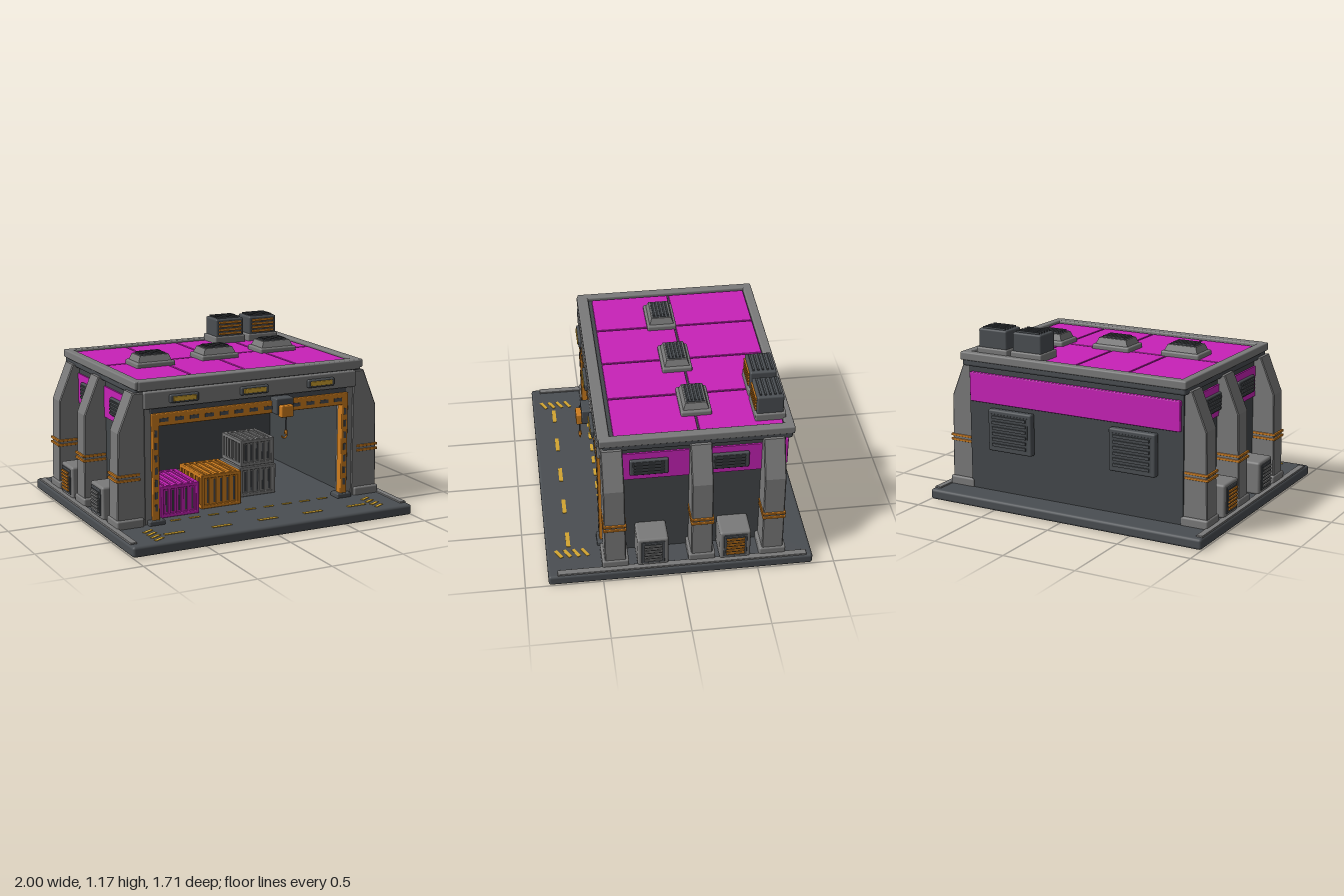
import * as THREE from 'three';
import { RoundedBoxGeometry } from 'three/addons/geometries/RoundedBoxGeometry.js';

const mat = (name, color) => {
  const m = new THREE.MeshStandardMaterial({ color });
  m.name = name;
  return m;
};

export function createModel() {
  const grey = mat('light grey metal', 0x7a7a7a);
  const dark = mat('dark grey metal', 0x4a4e52);
  const wallMat = mat('wall grey', 0x44484b);
  const magenta = mat('magenta panel', 0xc822b8);
  const orange = mat('orange metal', 0xd07e1e);
  const yellow = mat('yellow paint', 0xd3a530);

  const root = new THREE.Group();
  root.name = 'warehouse';

  const add = (parent, name, geo, m, x = 0, y = 0, z = 0) => {
    const mesh = new THREE.Mesh(geo, m);
    mesh.name = name;
    mesh.position.set(x, y, z);
    parent.add(mesh);
    return mesh;
  };
  // Box given by its extents along each axis; r rounds the edges
  const span = (parent, name, m, [x0, x1], [y0, y1], [z0, z1], r = 0) => {
    const w = x1 - x0, h = y1 - y0, d = z1 - z0;
    const g = r ? new RoundedBoxGeometry(w, h, d, 2, r) : new THREE.BoxGeometry(w, h, d);
    return add(parent, name, g, m, (x0 + x1) / 2, (y0 + y1) / 2, (z0 + z1) / 2);
  };
  const group = (name, x = 0, y = 0, z = 0, ry = 0, parent = root) => {
    const g = new THREE.Group();
    g.name = name;
    g.position.set(x, y, z);
    g.rotation.y = ry;
    parent.add(g);
    return g;
  };
  // Louvred vent facing +z, back at z = 0
  const louvre = (g, w, h, d, n, frameMat, panelMat, slatMat) => {
    span(g, 'ventFrame', frameMat, [-w / 2, w / 2], [-h / 2, h / 2], [0, d], Math.min(0.012, d * 0.45));
    const iw = w * 0.84, ih = h * 0.8;
    span(g, 'ventPanel', panelMat, [-iw / 2, iw / 2], [-ih / 2, ih / 2], [d - 0.004, d + 0.003]);
    for (let i = 0; i < n; i++) {
      const y = (i + 0.5) / n * ih - ih / 2;
      const t = ih / n * 0.25;
      span(g, 'ventSlat', slatMat, [-iw * 0.46, iw * 0.46], [y - t, y + t], [d, d + 0.012]);
    }
  };

  // Base slab and curbs
  span(root, 'base', dark, [-1, 1], [0, 0.07], [-0.86, 0.85], 0.018);
  for (const s of [-1, 1]) {
    span(root, 'curb', grey, [s * 0.968 - 0.022, s * 0.968 + 0.022], [0.06, 0.08], [-0.82, 0.79], 0.004);
  }

  // Floor markings
  for (let i = -2; i <= 2; i++) {
    span(root, 'laneDash', yellow, [i * 0.33 - 0.068, i * 0.33 + 0.068], [0.068, 0.074], [0.69, 0.716]);
  }
  for (let i = -4; i <= 4; i++) {
    span(root, 'thresholdDash', yellow, [i * 0.135 - 0.035, i * 0.135 + 0.035], [0.068, 0.074], [0.455, 0.475]);
  }
  for (const s of [-1, 1]) for (let i = 0; i < 4; i++) {
    const m = add(root, 'hazardStripe', new THREE.BoxGeometry(0.078, 0.006, 0.022), yellow, s * 0.792, 0.071, 0.6 + i * 0.057);
    m.rotation.y = 0.5;
  }

  // Walls
  for (const s of [-1, 1]) {
    span(root, 'sideWall', wallMat, [s * 0.765 - 0.02, s * 0.765 + 0.02], [0.06, 0.92], [-0.67, 0.46]);
    span(root, 'doorJamb', grey, [s * 0.75 - 0.045, s * 0.75 + 0.045], [0.06, 0.9], [0.36, 0.475]);
    for (const [z0, z1] of [[-0.08, 0.36], [-0.54, -0.2]]) {
      span(root, 'sideStripe', magenta, [s * 0.788 - 0.008, s * 0.788 + 0.008], [0.66, 0.865], [z0, z1]);
    }
    for (const z of [0.18, -0.33]) {
      louvre(group('sideVent', s * 0.79, 0.76, z, s * Math.PI / 2), 0.245, 0.12, 0.025, 4, dark, wallMat, dark);
    }
  }
  span(root, 'backWall', wallMat, [-0.785, 0.785], [0.06, 0.92], [-0.68, -0.64]);
  span(root, 'backStripe', magenta, [-0.77, 0.77], [0.67, 0.865], [-0.705, -0.67], 0.006);
  for (const s of [-1, 1]) {
    louvre(group('backVent', s * 0.45, 0.5, -0.68, Math.PI), 0.33, 0.28, 0.05, 6, dark, wallMat, dark);
  }

  // Buttress pillars with feet and orange bands
  const profile = new THREE.Shape([
    [0.76, 0.07], [0.942, 0.07], [0.928, 0.68], [0.83, 0.92], [0.76, 0.92],
  ].map(p => new THREE.Vector2(...p)));
  const pillarGeo = new THREE.ExtrudeGeometry(profile, {
    depth: 0.124, bevelEnabled: true, bevelThickness: 0.006, bevelSize: 0.006, bevelSegments: 1,
  });
  pillarGeo.translate(0, 0, -0.062);
  for (const s of [-1, 1]) for (const z of [0.415, -0.142, -0.6]) {
    const g = group('buttress', 0, 0, z, s > 0 ? 0 : Math.PI);
    add(g, 'pillar', pillarGeo, grey);
    span(g, 'pillarFoot', grey, [0.77, 0.957], [0.06, 0.125], [-0.086, 0.086], 0.012);
    for (const y of [0.377, 0.408]) {
      span(g, 'pillarBand', orange, [0.79, 0.952], [y - 0.008, y + 0.008], [-0.074, 0.074], 0.004);
    }
  }

  // Ground units along the sides
  for (const s of [-1, 1]) for (const [z, slat] of [[0.175, grey], [-0.355, orange]]) {
    const g = group('sideUnit', s * 0.78, 0, z, s * Math.PI / 2);
    span(g, 'unitBody', grey, [-0.1, 0.1], [0.07, 0.29], [0, 0.182], 0.016);
    louvre(group('unitGrille', 0, 0.182, 0.178, 0, g), 0.15, 0.175, 0.01, 6, dark, wallMat, slat);
  }

  // Roof: gutter, deck, rim and coloured panels
  span(root, 'roofGutter', dark, [-0.815, 0.815], [0.905, 0.965], [-0.72, 0.47], 0.016);
  span(root, 'roofDeck', wallMat, [-0.78, 0.78], [0.94, 0.976], [-0.69, 0.44]);
  for (const s of [-1, 1]) {
    span(root, 'roofSideRim', grey, [s * 0.795 - 0.028, s * 0.795 + 0.028], [0.945, 1], [-0.73, 0.49], 0.01);
  }
  span(root, 'roofFrontRim', grey, [-0.8, 0.8], [0.935, 1], [0.42, 0.497], 0.01);
  span(root, 'roofBackRim', grey, [-0.8, 0.8], [0.945, 1], [-0.73, -0.67], 0.01);
  for (let i = 0; i < 4; i++) for (const [z0, z1] of [[-0.665, -0.142], [-0.13, 0.395]]) {
    const x = -0.7625 + i * 0.3815;
    span(root, 'roofPanel', magenta, [x + 0.006, x + 0.3755], [0.97, 0.986], [z0, z1], 0.004);
  }

  // Low roof vents
  for (const [x, z] of [[-0.478, -0.045], [0.01, -0.085], [0.48, -0.142]]) {
    const g = group('roofVent', x, 0, z);
    span(g, 'ventCurb', grey, [-0.138, 0.138], [0.975, 1.018], [-0.098, 0.098], 0.012);
    // Tapered hood: a box with its top face drawn in
    const geo = new THREE.BoxGeometry(0.24, 0.045, 0.165).toNonIndexed();
    const p = geo.attributes.position;
    for (let i = 0; i < p.count; i++) {
      if (p.getY(i) > 0) p.setXYZ(i, p.getX(i) * 0.84, p.getY(i), p.getZ(i) * 0.8);
    }
    geo.computeVertexNormals();
    add(g, 'ventHood', geo, grey, 0, 1.036, 0);
    span(g, 'ventTop', dark, [-0.09, 0.09], [1.055, 1.062], [-0.058, 0.058]);
    for (let i = -2; i <= 2; i++) {
      span(g, 'ventFin', dark, [-0.08, 0.08], [1.06, 1.071], [i * 0.023 - 0.005, i * 0.023 + 0.005]);
    }
  }

  // Tall rooftop cooling units
  for (const x of [0.342, 0.602]) {
    const g = group('coolingUnit', x, 0, -0.59);
    span(g, 'unitPlinth', grey, [-0.118, 0.118], [0.975, 1.035], [-0.1, 0.095], 0.01);
    span(g, 'unitBody', dark, [-0.107, 0.107], [1.025, 1.157], [-0.085, 0.085], 0.012);
    for (let i = 0; i < 4; i++) {
      const y = 1.053 + i * 0.026;
      span(g, 'orangeSlat', orange, [-0.085, 0.085], [y - 0.007, y + 0.007], [0.08, 0.095]);
    }
    for (let i = -2; i <= 2; i++) {
      span(g, 'topFin', dark, [-0.085, 0.085], [1.15, 1.168], [i * 0.03 - 0.006, i * 0.03 + 0.006]);
    }
  }

  // Front header beam with lamps
  span(root, 'frontHeader', grey, [-0.765, 0.765], [0.82, 0.93], [0.4, 0.5], 0.01);
  span(root, 'headerUnderside', dark, [-0.72, 0.72], [0.785, 0.825], [0.4, 0.475]);
  for (const x of [-0.495, 0, 0.49]) {
    span(root, 'lampFrame', dark, [x - 0.1, x + 0.1], [0.848, 0.902], [0.49, 0.52], 0.01);
    span(root, 'lamp', yellow, [x - 0.08, x + 0.08], [0.86, 0.89], [0.515, 0.526], 0.004);
  }

  // Orange gate frame with dark slots
  span(root, 'gateBeam', orange, [-0.71, 0.71], [0.705, 0.785], [0.43, 0.497], 0.006);
  for (let i = -6; i <= 6; i++) {
    span(root, 'beamSlot', dark, [i * 0.105 - 0.03, i * 0.105 + 0.03], [0.732, 0.755], [0.494, 0.501]);
  }
  for (const s of [-1, 1]) {
    const x = s * 0.686;
    span(root, 'gatePost', orange, [x - 0.024, x + 0.024], [0.07, 0.75], [0.44, 0.497], 0.006);
    span(root, 'postFoot', dark, [x - 0.055, x + 0.055], [0.065, 0.1], [0.42, 0.515], 0.008);
    for (let i = 0; i < 7; i++) {
      const y = 0.18 + i * 0.08;
      span(root, 'postSlot', dark, [x - 0.009, x + 0.009], [y - 0.022, y + 0.022], [0.494, 0.501]);
    }
  }

  // Hoist with cable and hook
  const hoist = group('hoist', 0.2, 0, 0);
  span(hoist, 'hoistHousing', dark, [-0.065, 0.065], [0.705, 0.812], [0.47, 0.555], 0.01);
  span(hoist, 'hoistTrolley', orange, [-0.045, 0.045], [0.69, 0.768], [0.54, 0.59], 0.008);
  add(hoist, 'hoistCable', new THREE.CylinderGeometry(0.005, 0.005, 0.11, 8), dark, 0, 0.645, 0.567);
  add(hoist, 'hookBlock', new THREE.CylinderGeometry(0.01, 0.012, 0.025, 8), orange, 0, 0.59, 0.567);
  const hook = add(hoist, 'hook', new THREE.TorusGeometry(0.018, 0.006, 6, 14, Math.PI * 1.5), orange, -0.012, 0.57, 0.567);
  hook.rotation.z = -Math.PI;

  // Ribbed cargo crates; y is the underside, z the front
  const crate = (m, x0, x1, y0, y1, z1, d) => {
    const w = x1 - x0, h = y1 - y0;
    const g = group('cargoCrate', (x0 + x1) / 2, y0, z1 - d / 2);
    const X = w / 2, Z = d / 2, e = 0.024;
    span(g, 'crateBody', m, [-X + 0.01, X - 0.01], [0.004, h - 0.008], [-Z + 0.01, Z - 0.01]);
    for (const s of [-1, 1]) for (const t of [-1, 1]) {
      const x = s * (X - e / 2), z = t * (Z - e / 2);
      span(g, 'cratePost', m, [x - e / 2, x + e / 2], [0, h], [z - e / 2, z + e / 2], 0.005);
    }
    for (const y of [e / 2, h - e / 2]) for (const s of [-1, 1]) {
      const z = s * (Z - e / 2), x = s * (X - e / 2);
      span(g, 'crateRail', m, [-X, X], [y - e / 2, y + e / 2], [z - e / 2, z + e / 2], 0.005);
      span(g, 'crateRail', m, [x - e / 2, x + e / 2], [y - e / 2, y + e / 2], [-Z, Z], 0.005);
    }
    for (let i = 0; i < 5; i++) {
      const x = (i - 2) * w * 0.165, z = (i - 2) * d * 0.165;
      span(g, 'crateGroove', dark, [x - 0.006, x + 0.006], [0.035, h - 0.035], [Z - 0.014, Z - 0.007]);
      span(g, 'crateRib', m, [x + 0.008, x + 0.024], [0.02, h - 0.02], [-Z + 0.002, Z - 0.002]);
      span(g, 'crateTopRib', m, [x - 0.008, x + 0.008], [h - 0.02, h - 0.001], [-Z + 0.02, Z - 0.02]);
      span(g, 'crateSideRib', m, [-X + 0.002, X - 0.002], [0.02, h - 0.02], [z - 0.01, z + 0.01]);
    }
  };
  crate(magenta, -0.61, -0.335, 0.07, 0.28, 0.39, 0.36);
  crate(orange, -0.29, 0, 0.07, 0.298, 0.33, 0.34);
  crate(grey, 0.06, 0.33, 0.07, 0.275, 0.2, 0.3);
  crate(grey, 0.07, 0.325, 0.277, 0.457, 0.19, 0.28);

  return root;
}
